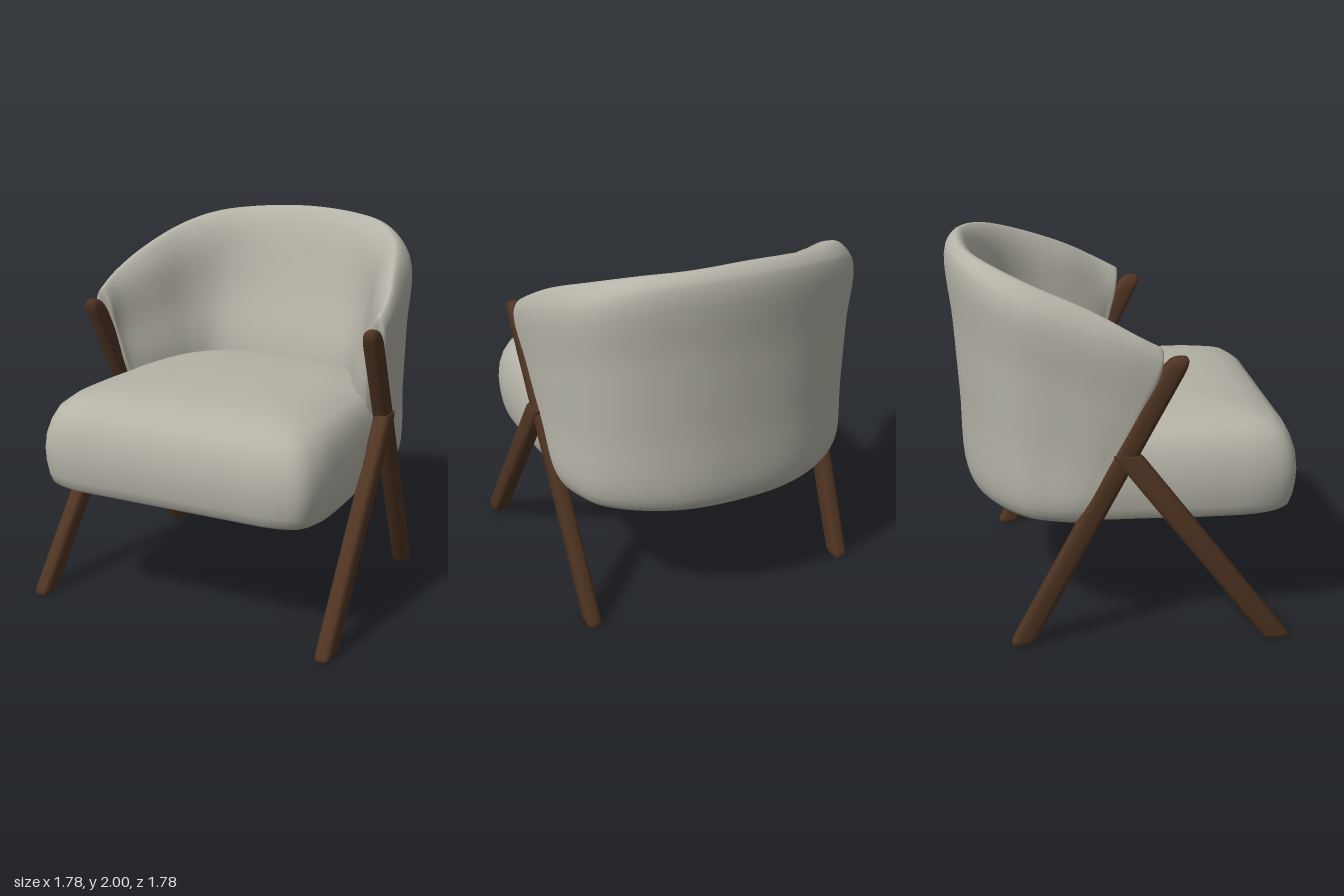
import * as THREE from 'three';
import { toCreasedNormals } from 'three/addons/utils/BufferGeometryUtils.js';

const V = (x, y, z) => new THREE.Vector3(x, y, z);

// Skin a list of equal-length closed loops, closing both ends with fans.
function loft(rings) {
  const n = rings[0].length, pos = [], idx = [];
  rings.forEach(r => r.forEach(p => pos.push(p.x, p.y, p.z)));
  for (let i = 0; i < rings.length - 1; i++) {
    for (let j = 0; j < n; j++) {
      const k = (j + 1) % n, a = i * n + j, b = i * n + k;
      idx.push(a, b, b + n, a, b + n, a + n);
    }
  }
  [0, rings.length - 1].forEach((ri, end) => {
    const c = centre(rings[ri]), ci = pos.length / 3;
    pos.push(c.x, c.y, c.z);
    for (let j = 0; j < n; j++) {
      const a = ri * n + j, b = ri * n + (j + 1) % n;
      if (end) idx.push(ci, a, b); else idx.push(ci, b, a);
    }
  });
  // Turn the faces outward if the enclosed volume is negative.
  let vol = 0;
  const at = i => V(pos[3 * i], pos[3 * i + 1], pos[3 * i + 2]);
  for (let i = 0; i < idx.length; i += 3) vol += at(idx[i]).dot(at(idx[i + 1]).cross(at(idx[i + 2])));
  if (vol < 0) idx.reverse();
  const g = new THREE.BufferGeometry();
  g.setAttribute('position', new THREE.Float32BufferAttribute(pos, 3));
  g.setIndex(idx);
  g.computeVertexNormals();
  return g;
}

function centre(ring) {
  return ring.reduce((s, p) => s.add(p), V(0, 0, 0)).divideScalar(ring.length);
}

// Rail running around the chair, given from the middle of the back to the left arm.
function rail(half) {
  const right = half.slice(1).reverse().map(([x, y, z]) => V(-x, y, z));
  return new THREE.CatmullRomCurve3([...right, ...half.map(p => V(...p))]);
}

// Wraparound backrest: cross-sections strung between rails.
function backrestGeometry() {
  const low = [[0, .75, -.82], [.3, .75, -.79], [.54, .75, -.69], [.71, .75, -.55],
    [.77, .75, -.42], [.8, .75, -.31], [.81, .75, -.21]];
  const outer = [[0, 1.94, -.885], [.3, 1.93, -.85], [.56, 1.89, -.745], [.74, 1.8, -.56],
    [.83, 1.68, -.25], [.865, 1.6, -.01], [.868, 1.54, .12]];
  const rim = [[0, 2, -.82], [.3, 1.985, -.79], [.52, 1.955, -.68], [.67, 1.89, -.5],
    [.78, 1.77, -.2], [.83, 1.665, 0], [.83, 1.6, .12]];
  const inner = [[0, 1.92, -.75], [.27, 1.91, -.72], [.46, 1.87, -.62], [.6, 1.79, -.45],
    [.71, 1.68, -.17], [.78, 1.59, .02], [.785, 1.53, .11]];
  const seat = [[0, 1.15, -.49], [.22, 1.15, -.48], [.4, 1.15, -.43], [.49, 1.15, -.33],
    [.56, 1.15, -.2], [.64, 1.15, -.07], [.73, 1.15, .01]];
  const mix = (a, b, t) => a.map((p, i) => p.map((v, k) => v + (b[i][k] - v) * t));
  const under = low.map(([x, , z]) => [x * .93, .662, z * .93]);
  const inside = seat.map(([x, , z], i) => [x * .95, .7, z - .03 * i]);
  const rails = [under, low, mix(low, outer, .33), mix(low, outer, .67), outer, rim, inner,
    mix(inner, seat, .5), seat, inside].map(rail);

  const rings = [], steps = 72;
  for (let i = 0; i <= steps; i++) {
    const loop = new THREE.CatmullRomCurve3(rails.map(r => r.getPoint(i / steps)), true);
    rings.push(loop.getPoints(60).slice(0, 60));
  }
  // Soft front ends of the arms
  const cap = (ring, s, dz) => {
    const c = centre(ring);
    return ring.map(p => p.clone().lerp(c, 1 - s).add(V(0, 0, dz)));
  };
  const first = rings[0], last = rings[steps];
  [[.97, .015], [.85, .025], [.5, .027]].forEach(([s, dz]) => {
    rings.unshift(cap(first, s, dz));
    rings.push(cap(last, s, dz));
  });
  return loft(rings);
}

// Seat cushion: one plan outline, scaled level by level into a soft crown.
function seatGeometry() {
  const half = [[.35, .885], [.62, .878], [.745, .83], [.8, .7], [.81, .45], [.79, .1],
    [.765, -.2], [.66, -.47], [.45, -.66]];
  const pts = [V(0, 0, .885), ...half.map(([x, z]) => V(x, 0, z)), V(0, 0, -.74),
    ...half.slice().reverse().map(([x, z]) => V(-x, 0, z))];
  const plan = new THREE.CatmullRomCurve3(pts, true).getPoints(100).slice(0, 100);
  const profile = [[.4, .66], [.9, .66], [.945, .665], [.97, .685], [.985, .73], [.997, .8], [1, .87],
    [.99, .95], [.965, 1.02], [.925, 1.085], [.86, 1.128], [.74, 1.163], [.58, 1.183],
    [.35, 1.194], [.12, 1.197]];
  return loft(profile.map(([s, y]) => plan.map(p => V(p.x * s, y, p.z * s))));
}

// Slanted wooden bar with level rounded-rectangle sections.
function barGeometry(foot, top, width, depth, roundTop) {
  const ring = (y, s) => {
    const c = foot.clone().lerp(top, y / top.y);
    return Array.from({ length: 24 }, (_, i) => {
      const a = i / 24 * Math.PI * 2, sq = v => Math.sign(v) * Math.abs(v) ** .6;
      return V(c.x + sq(Math.cos(a)) * width / 2 * s, y, c.z + sq(Math.sin(a)) * depth / 2 * s);
    });
  };
  const h = top.y;
  const ends = roundTop
    ? [[h - .08, 1], [h - .045, .94], [h - .02, .8], [h - .006, .6], [h, .35]]
    : [[h - .02, 1], [h, .9]];
  const rings = [[0, .82], [.008, .93], [.025, 1], ...ends].map(([y, s]) => ring(y, s));
  return toCreasedNormals(loft(rings), .7);
}

export function createModel() {
  const fabric = new THREE.MeshStandardMaterial({ color: 0xb5b3a7 });
  fabric.name = 'warm grey fabric';
  const wood = new THREE.MeshStandardMaterial({ color: 0x4f3422 });
  wood.name = 'dark wood';

  const chair = new THREE.Group();
  chair.name = 'armchair';
  const add = (name, geometry, material) => {
    const mesh = new THREE.Mesh(geometry, material);
    mesh.name = name;
    chair.add(mesh);
  };

  add('backrest', backrestGeometry(), fabric);
  add('seatCushion', seatGeometry(), fabric);

  // Crossed legs on each side: the rear leg runs up to carry the arm
  for (const [side, s] of [['left', 1], ['right', -1]]) {
    add(side + 'RearLeg', barGeometry(V(s * .757, 0, -.575), V(s * .832, 1.55, .22), .088, .125, true), wood);
    add(side + 'FrontLeg', barGeometry(V(s * .845, 0, .755), V(s * .82, 1.05, -.04), .09, .148, false), wood);
  }
  return chair;
}
